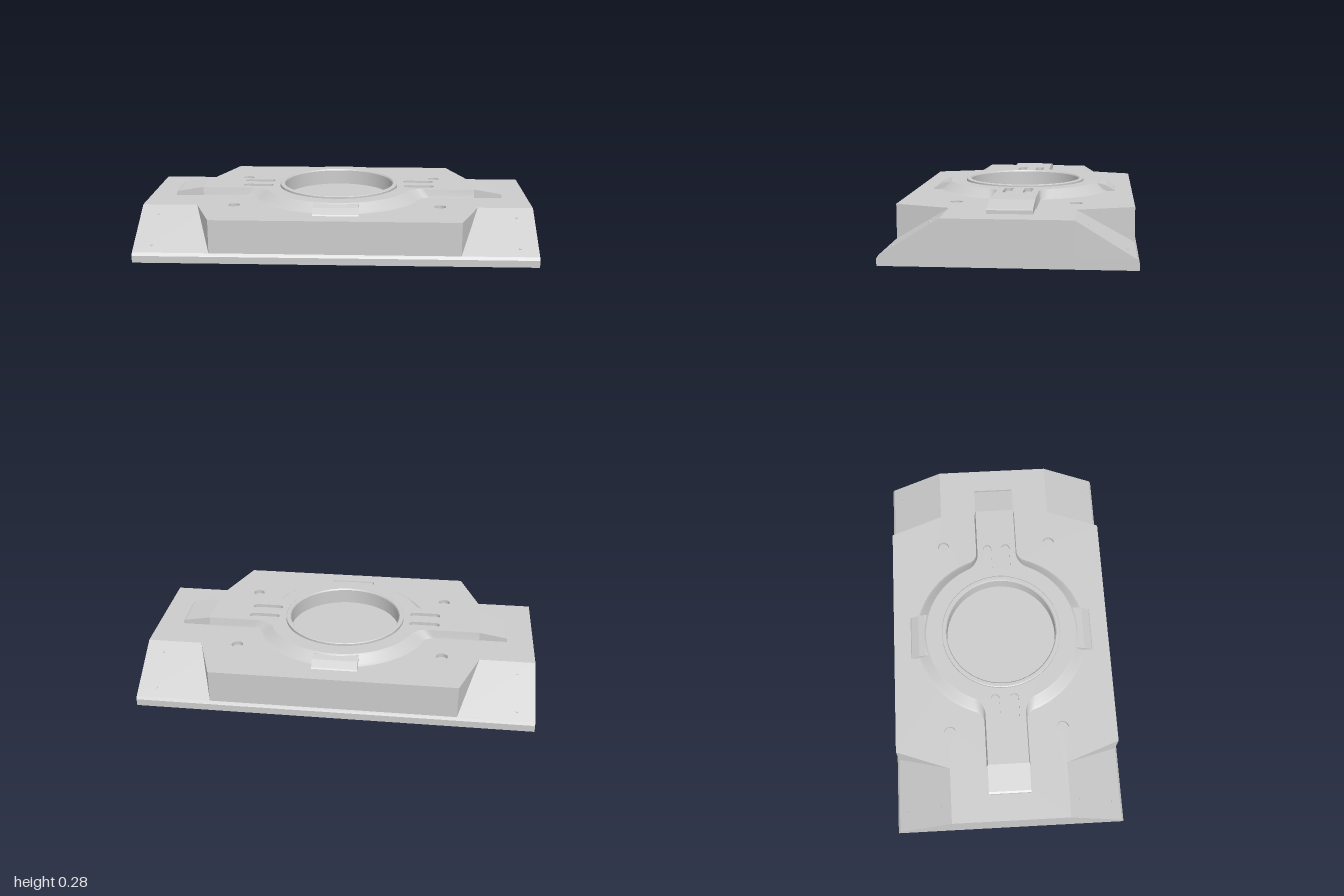
import * as THREE from 'three';
import { toCreasedNormals } from 'three/addons/utils/BufferGeometryUtils.js';

const material = new THREE.MeshStandardMaterial({ color: 0xcccccc });
const V = (x, y) => new THREE.Vector2(x, y);

// Plan shape raised between two heights
function slab(shape, y0, y1) {
  const g = new THREE.ExtrudeGeometry(shape, { depth: y1 - y0, bevelEnabled: false, curveSegments: 32 });
  g.rotateX(-Math.PI / 2).translate(0, y0, 0);
  return toCreasedNormals(g, 0.6);
}

// Side profile in (x, y), extruded along z and centred
function prism(points, width) {
  const shape = new THREE.Shape(points.map(([x, y]) => V(x, y)));
  return new THREE.ExtrudeGeometry(shape, { depth: width, bevelEnabled: false }).translate(0, 0, -width / 2);
}

function circleHole(x, y, r) {
  return new THREE.Path().absarc(x, y, r, 0, Math.PI * 2, true);
}

function slotHole(x0, x1, y, r) {
  const p = new THREE.Path();
  p.absarc(x1, y, r, -Math.PI / 2, Math.PI / 2, false);
  p.absarc(x0, y, r, Math.PI / 2, Math.PI * 1.5, false);
  p.closePath();
  return p;
}

// Ring with two arms, joined by fillets of radius f
function outline(r, h, f, end) {
  const cx = Math.sqrt((r + f) ** 2 - (h + f) ** 2);
  const a = Math.atan2(h + f, cx);
  const q = [];
  for (let i = 0; i <= 20; i++) {
    const t = Math.PI / 2 + (a - Math.PI / 2) * i / 20;
    q.push(V(r * Math.cos(t), r * Math.sin(t)));
  }
  for (let i = 1; i <= 10; i++) {
    const t = a + Math.PI + (Math.PI / 2 - a) * i / 10;
    q.push(V(cx + f * Math.cos(t), h + f + f * Math.sin(t)));
  }
  q.push(V(end, h));
  const flip = (list, sx, sy) => list.map(p => V(p.x * sx, p.y * sy));
  const back = [...q].reverse();
  return [...q.slice(0, -1), q[q.length - 1], ...flip(back, 1, -1).slice(0, -1),
    ...flip(q, -1, -1), ...flip(back, -1, 1).slice(0, -1)];
}

// Sloped wall between a lower and an upper outline
function skirt(lower, upper, steps) {
  const n = lower.length, pos = [], index = [];
  for (const [t, y] of steps)
    lower.forEach((p, i) => {
      const v = p.clone().lerp(upper[i], t);
      pos.push(v.x, y, v.y);
    });
  for (let k = 0; k < steps.length - 1; k++)
    for (let i = 0; i < n; i++) {
      const a = k * n + i, b = k * n + (i + 1) % n;
      index.push(a, b, b + n, a, b + n, a + n);
    }
  const g = new THREE.BufferGeometry();
  g.setAttribute('position', new THREE.Float32BufferAttribute(pos, 3));
  g.setIndex(index);
  return toCreasedNormals(g, 0.7);
}

export function createModel() {
  const model = new THREE.Group();
  const add = (name, geometry, x = 0, y = 0, z = 0) => {
    const m = new THREE.Mesh(geometry, material);
    m.name = name;
    m.position.set(x, y, z);
    model.add(m);
    return m;
  };
  const signs = [-1, 1];
  const corners = signs.flatMap(x => signs.map(z => [x, z]));

  // Foot plate with a small chamfer along front and back
  add('footPlate', prism([[-0.585, 0], [0.585, 0], [0.585, 0.035], [0.575, 0.05], [-0.575, 0.05], [-0.585, 0.035]], 2))
    .rotation.y = Math.PI / 2;

  // Main body with notched corners, a centre well and four bolt recesses
  const body = new THREE.Shape([
    [1, -0.3], [1, 0.3], [0.72, 0.3], [0.62, 0.575], [-0.62, 0.575], [-0.72, 0.3],
    [-1, 0.3], [-1, -0.3], [-0.72, -0.3], [-0.62, -0.575], [0.62, -0.575], [0.72, -0.3],
  ].map(([x, y]) => V(x, y)));
  body.holes.push(circleHole(0, 0, 0.3));
  corners.forEach(([x, z]) => body.holes.push(circleHole(x * 0.53, z * 0.293, 0.03)));
  add('body', slab(body, 0.05, 0.22));

  const slope = Math.atan2(0.17, 0.275);
  for (const [sx, sz] of corners) {
    // Sloped corner
    add('cornerSlope', prism([[0.3, 0.05], [0.575, 0.05], [0.3, 0.22]], 0.4), sx * 0.8)
      .rotation.y = -sz * Math.PI / 2;
    // Small fasteners on the slope
    for (const z of [0.355, 0.53]) {
      const y = 0.22 - (z - 0.3) * 0.17 / 0.275;
      add('fastener', new THREE.CylinderGeometry(0.007, 0.008, 0.006, 16), sx * 0.91, y, sz * z)
        .rotation.x = sz * slope;
    }
    // Bottom of the bolt recess
    add('boltRecessFloor', new THREE.CylinderGeometry(0.031, 0.031, 0.1, 24), sx * 0.53, 0.15, sz * 0.293);
  }

  // Raised platform: sloped skirt and flat top with slots
  const top = outline(0.4, 0.105, 0.1, 0.72);
  add('platformSkirt', skirt(outline(0.455, 0.112, 0.06, 0.72), top,
    [[0, 0.22], [0.25, 0.227], [0.85, 0.26], [1, 0.265]]));
  const plate = new THREE.Shape(top);
  plate.holes.push(circleHole(0, 0, 0.322));
  for (const s of signs)
    for (const z of signs)
      plate.holes.push(slotHole(s * 0.43 - 0.058, s * 0.43 + 0.058, z * 0.05, 0.022));
  add('platformTop', slab(plate, 0.235, 0.265));

  for (const s of signs) {
    // Floor under the slots
    add('slotFloor', new THREE.BoxGeometry(0.19, 0.02, 0.17), s * 0.43, 0.238, 0);
    // Tapered arm tip
    add('armTip', prism([[0.72, 0.22], [0.865, 0.22], [0.865, 0.237], [0.855, 0.242], [0.72, 0.265]], 0.214))
      .rotation.y = s > 0 ? 0 : Math.PI;
    // Tab at front and back of the ring
    add('tab', prism([[0.35, 0.22], [0.485, 0.22], [0.48, 0.226], [0.44, 0.25], [0.405, 0.26], [0.35, 0.26]], 0.23))
      .rotation.y = -s * Math.PI / 2;
  }

  // Rim ring, its outer groove and the centre well
  const rim = [[0, 0.19], [0.29, 0.19], [0.29, 0.268], [0.295, 0.275], [0.312, 0.275],
    [0.316, 0.272], [0.316, 0.257], [0.324, 0.257]].map(([x, y]) => V(x, y));
  // Profile runs from the axis outward, so reverse it to face up
  add('rimAndWell', toCreasedNormals(new THREE.LatheGeometry(rim.reverse(), 96), 0.5));

  return model;
}
